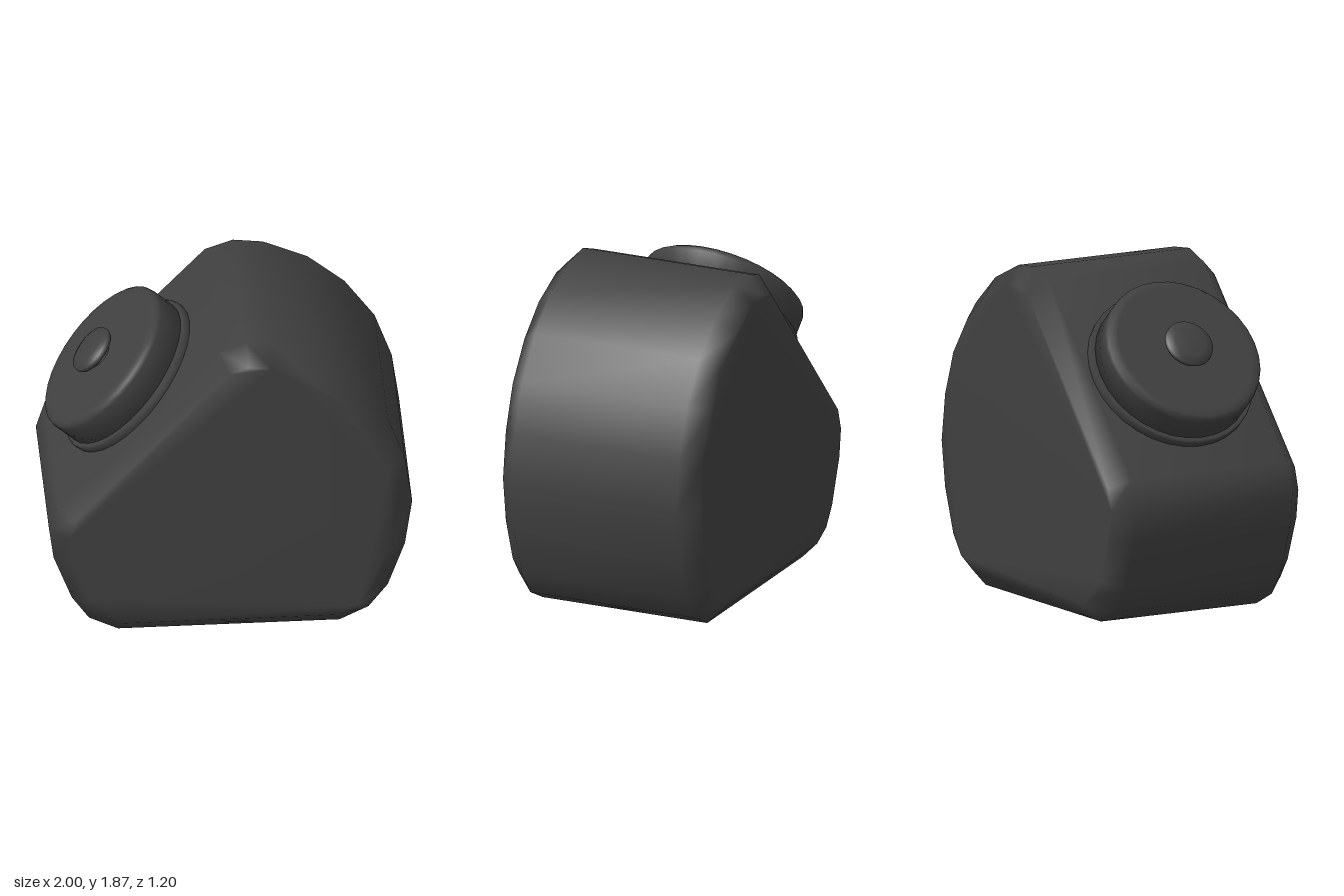
import * as THREE from 'three';
import { mergeVertices } from 'three/addons/utils/BufferGeometryUtils.js';

const material = new THREE.MeshStandardMaterial({ color: 0x404040 });

// Weld a geometry and give it soft, area-weighted normals
function soften(geometry) {
  geometry.deleteAttribute('uv');
  geometry.deleteAttribute('normal');
  const welded = mergeVertices(geometry, 1e-4);
  welded.computeVertexNormals();
  return welded;
}

function part(name, geometry) {
  const mesh = new THREE.Mesh(soften(geometry), material);
  mesh.name = name;
  return mesh;
}

// Turned part from [radius, height] pairs, bottom to top
function turned(name, profile) {
  const points = profile.map(([r, y]) => new THREE.Vector2(r, y));
  return part(name, new THREE.LatheGeometry(points, 32));
}

export function createModel() {
  const model = new THREE.Group();
  model.name = 'slantedJar';

  // Jar body: rounded side outline with one slanted shoulder, chamfered front and back
  const outline = [
    [-0.62, 0], [0.6, 0], [0.76, 0.08], [0.865, 0.22], [0.96, 0.49], [1, 0.77],
    [0.96, 1.06], [0.865, 1.33], [0.7, 1.565], [0.495, 1.74], [0.25, 1.85],
    [0.085, 1.87], [-0.07, 1.815], [-0.95, 0.845], [-1, 0.68], [-0.975, 0.49],
    [-0.875, 0.22], [-0.78, 0.08],
  ].map(([x, y]) => new THREE.Vector2(x, y));
  const body = new THREE.ExtrudeGeometry(new THREE.Shape(outline), {
    depth: 1, steps: 1, bevelSegments: 1,
    bevelThickness: 0.1, bevelSize: 0.1, bevelOffset: -0.1,
  });
  body.translate(0, 0, -0.5);
  model.add(part('body', body));

  // Lid assembly, its axis square to the slanted shoulder
  const lid = new THREE.Group();
  lid.name = 'lidAssembly';
  lid.position.set(-0.51, 1.32, 0);
  lid.rotation.z = 0.826;
  lid.add(
    turned('rimRing', [[0, -0.03], [0.475, -0.03], [0.485, 0.015], [0.485, 0.04], [0.475, 0.055], [0, 0.055]]),
    turned('lid', [[0, 0.03], [0.458, 0.03], [0.46, 0.2], [0.455, 0.225], [0.435, 0.24], [0.4, 0.242], [0, 0.242]]),
    turned('knob', [[0, 0.23], [0.09, 0.23], [0.075, 0.25], [0.07, 0.272], [0.132, 0.275],
      [0.141, 0.29], [0.138, 0.31], [0.095, 0.326], [0, 0.33]]),
  );
  model.add(lid);

  return model;
}
